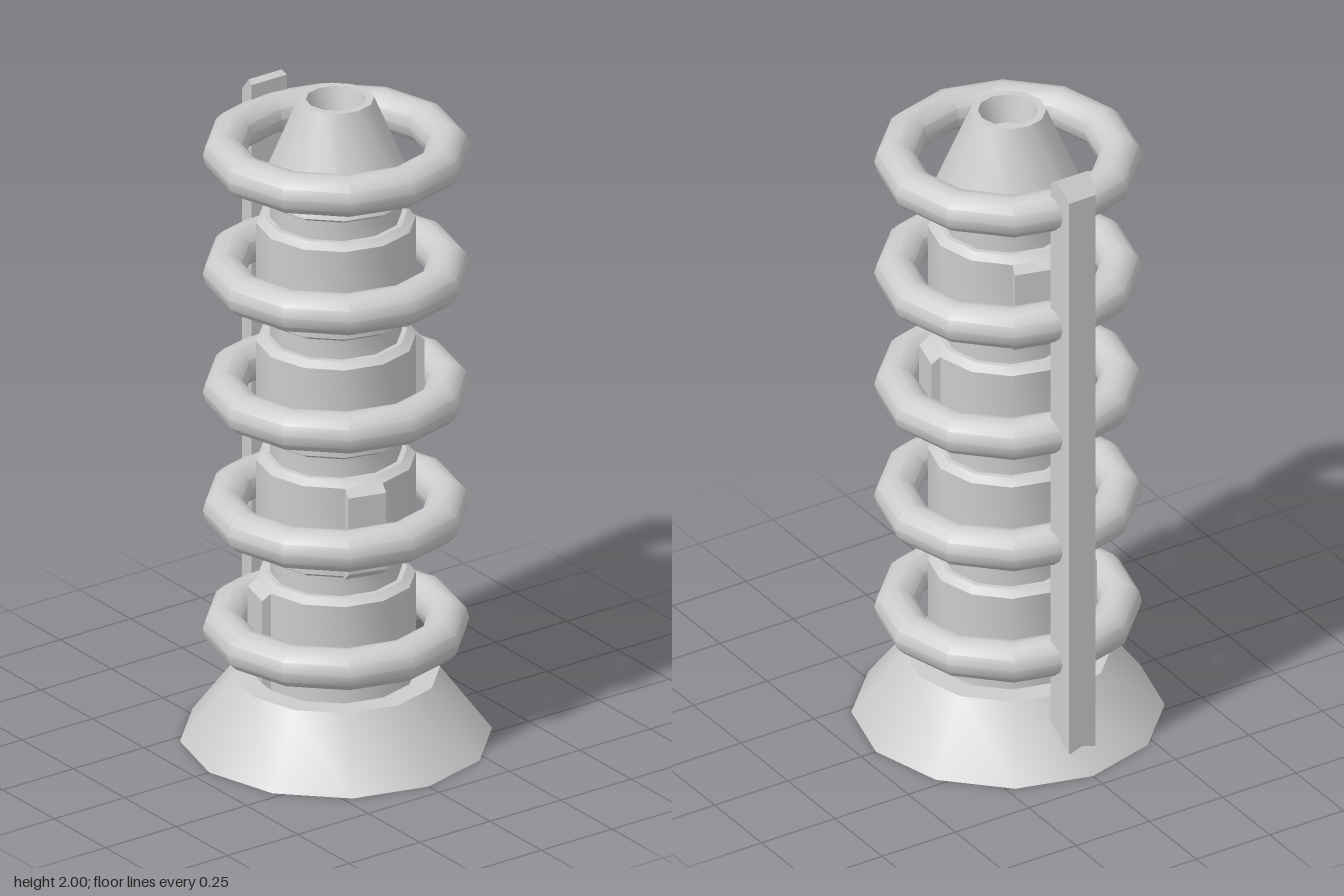
import * as THREE from 'three';
import { toCreasedNormals } from 'three/addons/utils/BufferGeometryUtils.js';

const SIDES = 12;
const PITCH = 0.372;

export function createModel() {
  const model = new THREE.Group();
  const grey = new THREE.MeshStandardMaterial({ color: 0xcccccc, side: THREE.DoubleSide });
  grey.name = 'light grey';

  const add = (name, geometry, crease = 0.6) => {
    const mesh = new THREE.Mesh(toCreasedNormals(geometry, crease), grey);
    mesh.name = name;
    model.add(mesh);
    return mesh;
  };
  const lathe = (points) =>
    new THREE.LatheGeometry(points.map(([r, y]) => new THREE.Vector2(r, y)), SIDES);
  const shapeOf = (points) => new THREE.Shape(points.map(([x, y]) => new THREE.Vector2(x, y)));

  // Flared hollow foot with a flat deck
  add('flaredBase', lathe([[0.45, 0], [0.3, 0.2], [0, 0.2]]));

  // Stacked column: four drums with chamfered rims, narrow necks and a hollow nozzle
  const profile = [[0.23, 0.2]];
  for (let i = 0; i < 4; i++) {
    const top = 0.515 + i * PITCH;
    profile.push(
      [0.23, top - 0.012], [0.205, top + 0.005], [0.19, top + 0.005],
      [0.19, top + 0.07], [0.205, top + 0.07], [0.23, top + 0.085]
    );
  }
  profile.push([0.11, 2], [0.087, 2], [0.066, 1.92], [0, 1.92]);
  add('column', lathe(profile));

  // Five rings around the column
  for (let i = 0; i < 5; i++) {
    const ring = new THREE.TorusGeometry(0.323, 0.061, 12, SIDES);
    ring.rotateX(Math.PI / 2);
    add('ring', ring).position.y = 0.35 + i * PITCH;
  }

  // One raised chamfered panel per drum, each a quarter turn on from the last
  const panelWidth = 0.116;
  for (let i = 0; i < 4; i++) {
    const bottom = i === 0 ? 0.2 : 0.218 + i * PITCH;
    const top = 0.503 + i * PITCH;
    const panel = new THREE.ExtrudeGeometry(
      shapeOf([[0.21, bottom], [0.222, bottom], [0.249, bottom + 0.025],
        [0.249, top - 0.02], [0.222, top], [0.21, top]]),
      { depth: panelWidth, bevelEnabled: false }
    );
    panel.translate(0, 0, -panelWidth / 2);
    // Turn the outward side onto its facet
    panel.rotateY(Math.PI - Math.PI / 12 + i * -Math.PI / 2 + (i % 2 ? Math.PI : 0));
    add('panel', panel, 0.3);
  }

  // Tapered bar up the back, tying the rings to the foot
  const bar = new THREE.ExtrudeGeometry(
    shapeOf([[0.325, 0.14], [0.395, 0.06], [0.395, 1.9], [0.345, 1.95], [0.325, 1.94]]),
    { depth: 1, bevelEnabled: false }
  );
  bar.translate(0, 0, -0.5);
  bar.rotateY(Math.PI / 2);
  const p = bar.attributes.position;
  for (let i = 0; i < p.count; i++) {
    const out = (-p.getZ(i) - 0.325) / 0.07;
    p.setX(i, p.getX(i) * 2 * (0.063 - 0.018 * out));
  }
  add('backBar', bar, 0.3);

  return model;
}
